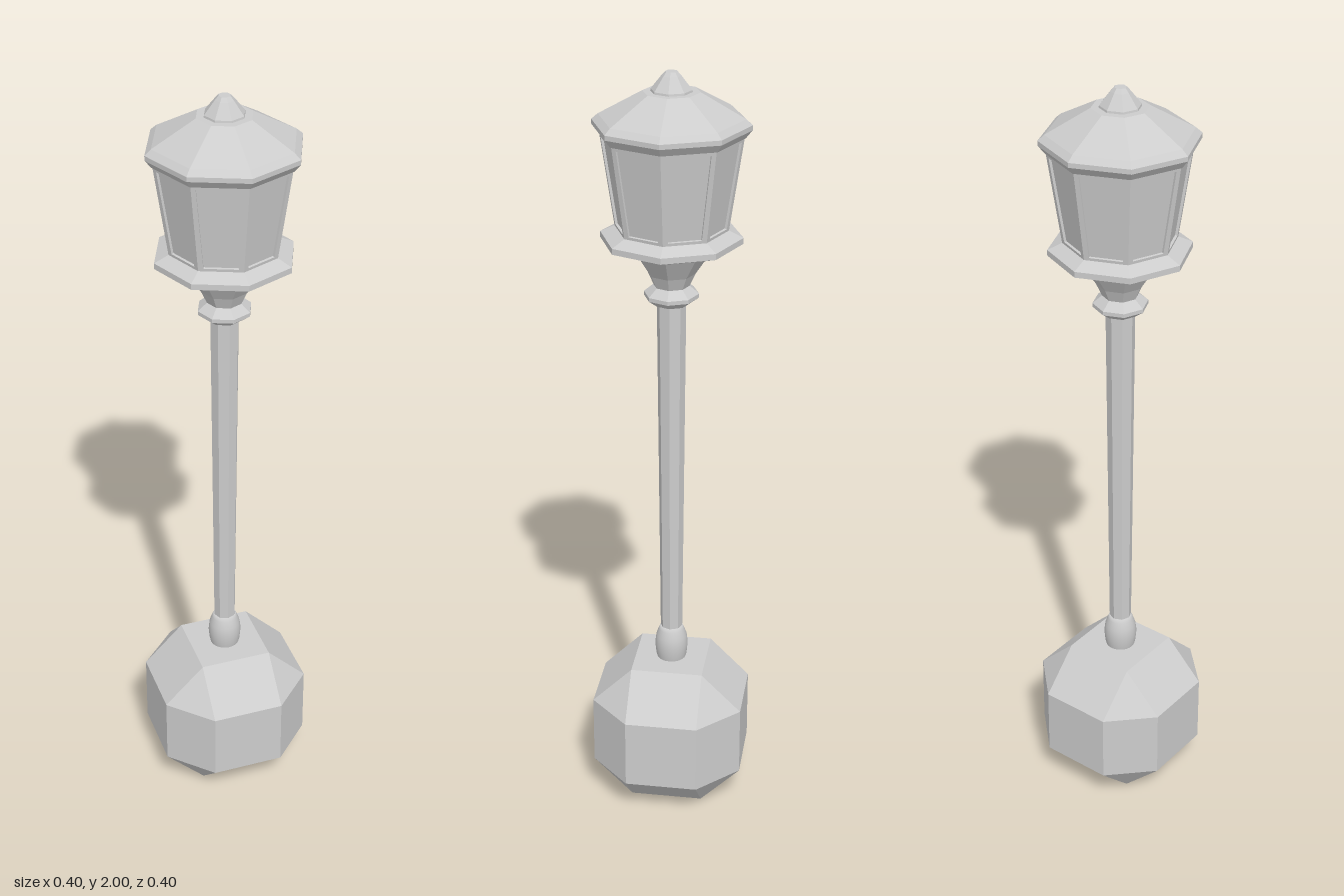
import * as THREE from 'three';
import { ConvexGeometry } from 'three/addons/geometries/ConvexGeometry.js';

const SIDES = 8;

export function createModel() {
  const model = new THREE.Group();
  model.name = 'streetLamp';
  const stone = new THREE.MeshStandardMaterial({ color: 0xcccccc });
  stone.name = 'lightGrey';

  const add = (name, geometry, parent = model) => {
    const mesh = new THREE.Mesh(geometry, stone);
    mesh.name = name;
    parent.add(mesh);
    return mesh;
  };

  // Turned profile given as [radius, height] from bottom to top
  const turn = (profile, sides, smooth) => {
    const points = profile.map(([r, y]) => new THREE.Vector2(r, y));
    const lathe = new THREE.LatheGeometry(points, sides);
    if (smooth) return lathe;
    const flat = lathe.toNonIndexed();
    flat.computeVertexNormals();
    return flat;
  };

  // Base: a cube with all edges and corners cut off
  const a = 0.095, b = 0.2;
  const corners = [];
  for (const sx of [-1, 1]) for (const sy of [-1, 1]) for (const sz of [-1, 1]) {
    for (const [x, y, z] of [[b, a, a], [a, b, a], [a, a, b]]) {
      corners.push(new THREE.Vector3(sx * x, 0.2 + sy * y, sz * z));
    }
  }
  add('base', new ConvexGeometry(corners));

  // Rounded foot and slightly flared octagonal pole
  add('poleFoot', turn([
    [0.036, 0.39], [0.041, 0.41], [0.044, 0.44], [0.041, 0.465],
    [0.034, 0.485], [0.029, 0.495], [0, 0.495],
  ], 24, true));
  add('pole', turn([[0.029, 0.48], [0.037, 1.43]], SIDES));

  // Collar, flared neck and gallery rim
  add('collar', turn([
    [0, 1.42], [0.045, 1.42], [0.069, 1.438], [0.069, 1.448], [0.045, 1.468], [0, 1.468],
  ], SIDES));
  add('neck', turn([[0.042, 1.46], [0.06, 1.5], [0.108, 1.572]], SIDES));
  add('rim', turn([
    [0, 1.566], [0.13, 1.566], [0.177, 1.583], [0.177, 1.598], [0.14, 1.615], [0, 1.615],
  ], SIDES));

  // Lantern: recessed panes behind eight tapered frames
  const lantern = new THREE.Group();
  lantern.name = 'lantern';
  model.add(lantern);
  const r0 = 0.14, r1 = 0.176, y0 = 1.61, y1 = 1.85, inset = 0.007;
  add('panes', turn([[r0 - inset, y0], [r1 - inset, y1]], SIDES), lantern);

  const half = Math.PI / SIDES;
  const run = (r1 - r0) * Math.cos(half);
  const tilt = Math.atan2(run, y1 - y0);
  const slope = Math.hypot(run, y1 - y0);
  const w0 = r0 * Math.sin(half), w1 = r1 * Math.sin(half);
  const border = 0.012;
  const trapezoid = (m) => [
    [-w0 + m, m], [w0 - m, m], [w1 - m, slope - m], [-w1 + m, slope - m],
  ].map(([x, y]) => new THREE.Vector2(x, y));
  const frameShape = new THREE.Shape(trapezoid(0));
  frameShape.holes.push(new THREE.Path(trapezoid(border).reverse()));
  const frame = new THREE.ExtrudeGeometry(frameShape, { depth: inset, bevelEnabled: false });
  frame.translate(0, 0, -inset);
  frame.rotateX(tilt);
  frame.translate(0, y0, r0 * Math.cos(half));
  for (let i = 0; i < SIDES; i++) {
    add('paneFrame', frame, lantern).rotation.y = (2 * i + 1) * half;
  }

  // Roof with a thick eave, and the blunt finial
  add('roof', turn([
    [0, 1.846], [0.178, 1.846], [0.194, 1.866], [0.194, 1.878],
    [0.178, 1.892], [0.07, 1.952], [0, 1.952],
  ], SIDES));
  add('finial', turn([
    [0.052, 1.945], [0.05, 1.957], [0.024, 1.99], [0.015, 2], [0, 2],
  ], SIDES));

  return model;
}
